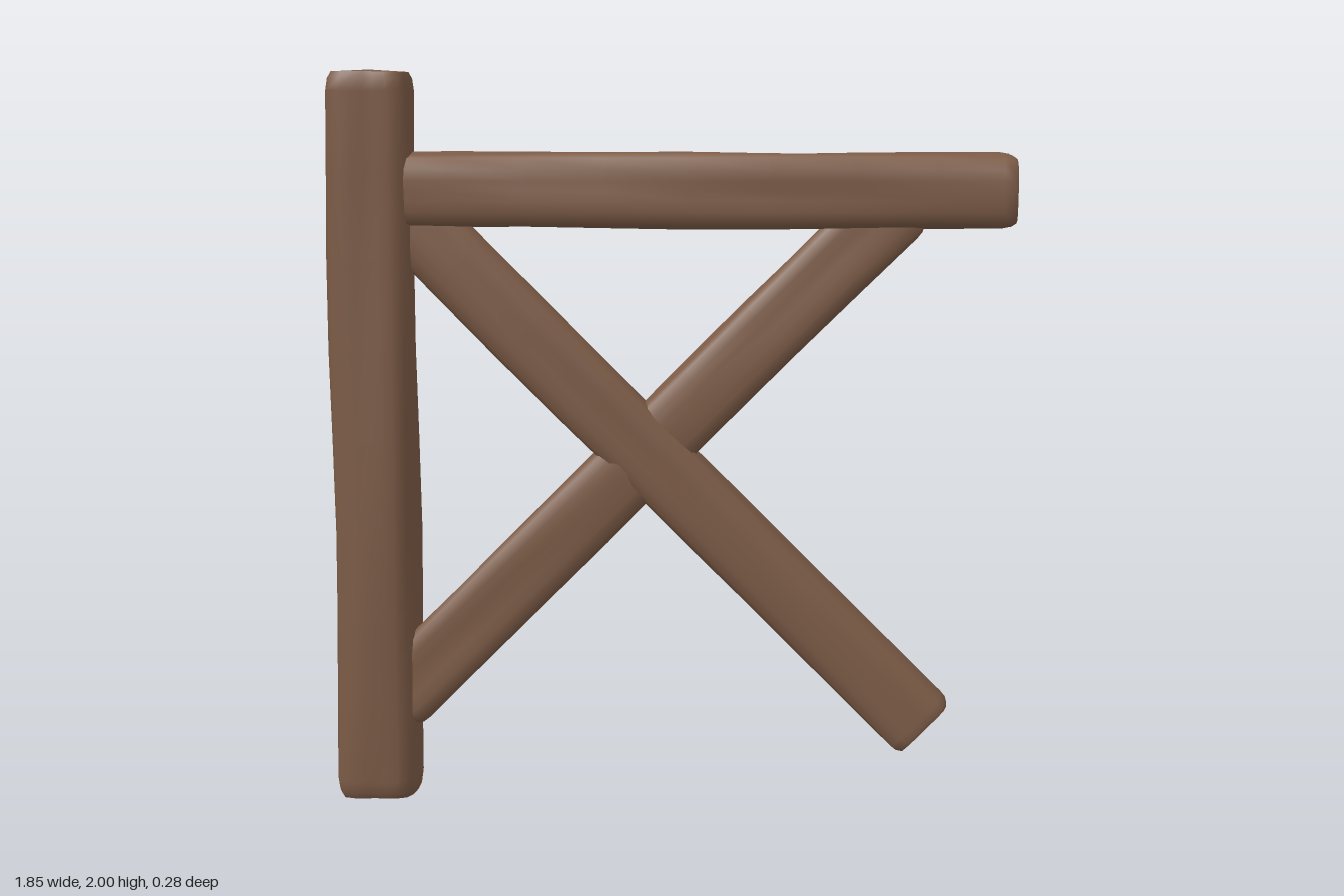
import * as THREE from 'three';

const SIDES = 24;

// Rough-hewn timber: rounded-square rings swept from one end to the other, closed by domed ends.
// width lies in the x-y plane, depth along z.
function timber(name, material, from, to, width, depth, { tip = 0.88, bevel = 0.035, seed = 0, wobble = 0.004, power = 5 } = {}) {
  const a = new THREE.Vector3(...from), b = new THREE.Vector3(...to);
  const axis = b.clone().sub(a);
  const length = axis.length();
  axis.normalize();
  const zDir = new THREE.Vector3(0, 0, 1);
  const side = axis.clone().cross(zDir).normalize();
  const e = bevel / length;

  // Position along the length and ring scale
  const rings = [[0, tip], [e * 0.35, (1 + tip) / 2 + 0.02], [e, 1]];
  for (let i = 1; i < 8; i++) rings.push([i / 8, 1]);
  rings.push([1 - e, 1], [1 - e * 0.35, (1 + tip) / 2 + 0.02], [1, tip]);

  const pos = [], index = [];
  const addRing = ([t, s]) => {
    const centre = a.clone().lerp(b, t);
    for (let j = 0; j < SIDES; j++) {
      const ang = (j / SIDES) * Math.PI * 2;
      const c = Math.cos(ang), n = Math.sin(ang);
      const r = s / Math.pow(Math.abs(c) ** power + Math.abs(n) ** power, 1 / power);
      const hew = wobble * (Math.sin(3 * ang + 7 * t + seed) + 0.6 * Math.sin(5 * ang - 11 * t + 2 * seed) - 0.4);
      const p = centre.clone()
        .addScaledVector(side, c * (r * width / 2 + hew))
        .addScaledVector(zDir, n * (r * depth / 2 + hew));
      pos.push(p.x, p.y, p.z);
    }
  };
  rings.forEach(addRing);
  for (let i = 0; i < rings.length - 1; i++) {
    for (let j = 0; j < SIDES; j++) {
      const p = i * SIDES + j, q = i * SIDES + (j + 1) % SIDES;
      index.push(p, p + SIDES, q, q, p + SIDES, q + SIDES);
    }
  }

  // End faces have their own ring, so their rims stay crisp
  for (const end of [0, 1]) {
    const start = pos.length / 3;
    addRing([end, tip]);
    const c = a.clone().lerp(b, end).addScaledVector(axis, end ? 0.006 : -0.006);
    pos.push(c.x, c.y, c.z);
    for (let j = 0; j < SIDES; j++) {
      const p = start + j, q = start + (j + 1) % SIDES;
      index.push(start + SIDES, end ? q : p, end ? p : q);
    }
  }

  const geometry = new THREE.BufferGeometry();
  geometry.setAttribute('position', new THREE.Float32BufferAttribute(pos, 3));
  geometry.setIndex(index);
  geometry.computeVertexNormals();
  const mesh = new THREE.Mesh(geometry, material);
  mesh.name = name;
  return mesh;
}

export function createModel() {
  const group = new THREE.Group();
  group.name = 'timberFrame';
  const wood = new THREE.MeshStandardMaterial({ color: 0x7d5c47 });
  wood.name = 'brownWood';

  group.add(
    // Upright, leaning slightly forward at the top
    timber('post', wood, [-0.812, 0.01, -0.02], [-0.808, 1.994, 0.024], 0.222, 0.24, { seed: 1, bevel: 0.05 }),
    // Horizontal beam, its left end set into the post
    timber('beam', wood, [-0.82, 1.68, 0.008], [0.916, 1.68, 0.008], 0.2, 0.204, { seed: 2.4, wobble: 0.003, power: 6 }),
    // Crossed braces; the falling one is thicker and shows on both faces
    timber('fallingBrace', wood, [-0.76, 1.66, 0.008], [0.69, 0.213, 0.008], 0.198, 0.142, { seed: 4, tip: 0.92, bevel: 0.03, wobble: 0.003 }),
    timber('risingBrace', wood, [-0.76, 0.28, 0.012], [0.61, 1.65, 0.012], 0.198, 0.116, { seed: 5.5, tip: 0.9, wobble: 0.003 }),
  );
  return group;
}
